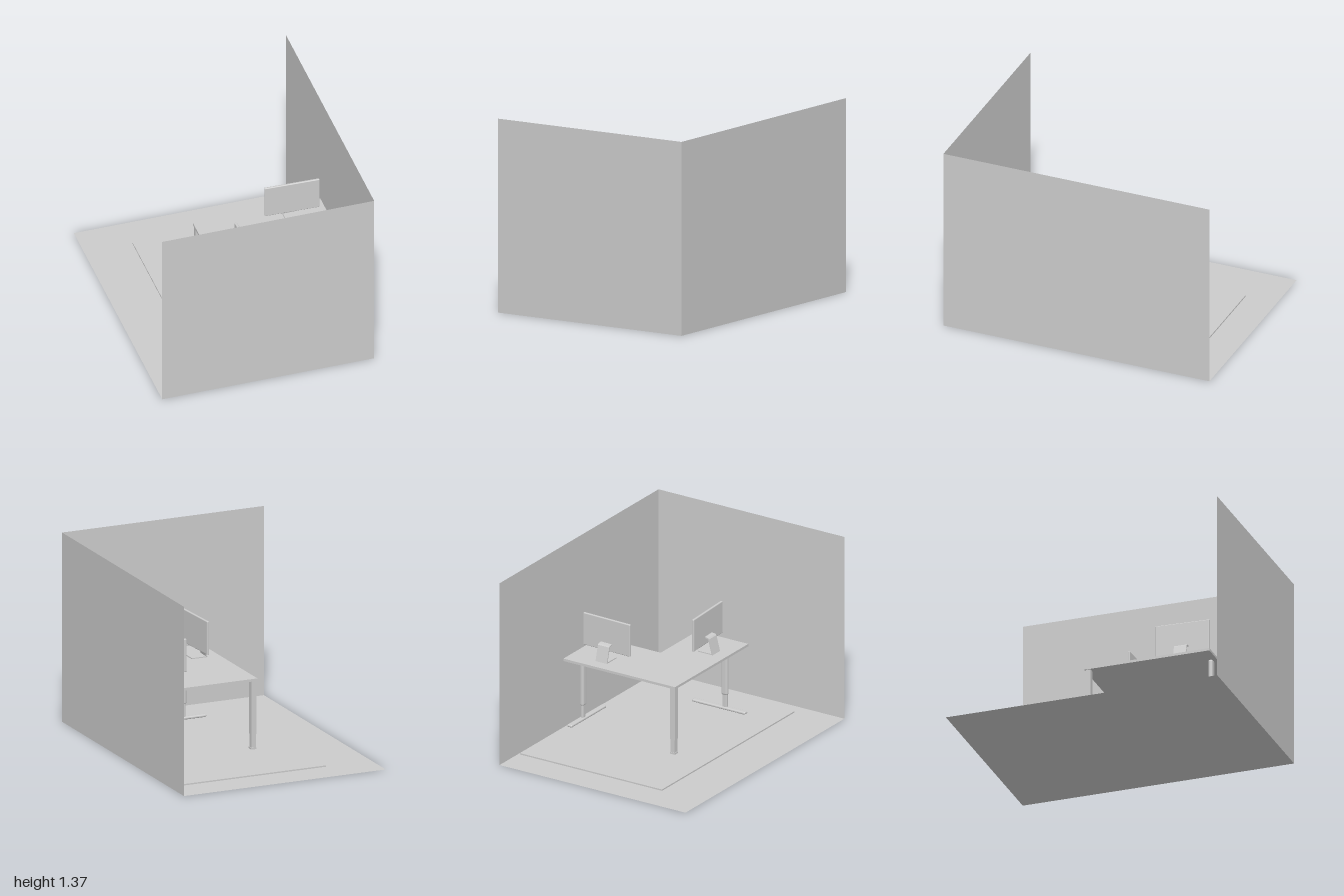
import * as THREE from 'three';
import { RoundedBoxGeometry } from 'three/addons/geometries/RoundedBoxGeometry.js';

const grey = new THREE.MeshStandardMaterial({ color: 0xcccccc });
const thin = new THREE.MeshStandardMaterial({ color: 0xcccccc, side: THREE.DoubleSide });

function add(parent, name, geometry, x = 0, y = 0, z = 0, material = grey) {
  const mesh = new THREE.Mesh(geometry, material);
  mesh.name = name;
  mesh.position.set(x, y, z);
  parent.add(mesh);
  return mesh;
}

const box = (w, h, d) => new THREE.BoxGeometry(w, h, d);

// T-shaped leg: floor bar along local x, telescopic column set toward -x
function createTLeg(name) {
  const leg = new THREE.Group();
  leg.name = name;
  add(leg, 'footBar', new RoundedBoxGeometry(0.44, 0.02, 0.04, 3, 0.009), 0, 0.02, 0);
  add(leg, 'lowerColumn', new RoundedBoxGeometry(0.04, 0.14, 0.024, 4, 0.01), -0.045, 0.09, 0);
  add(leg, 'upperColumn', new RoundedBoxGeometry(0.052, 0.385, 0.034, 4, 0.015), -0.045, 0.31, 0);
  return leg;
}

// Monitor facing local +z; y = 0 is the desk surface
function createMonitor(name, twist) {
  const monitor = new THREE.Group();
  monitor.name = name;
  const screen = add(monitor, 'screen', new RoundedBoxGeometry(0.395, 0.24, 0.018, 3, 0.006), 0, 0.185, 0);
  screen.rotation.y = twist;

  // Bent plate stand, outlined from the side as (depth, height)
  const profile = new THREE.Shape([
    [0.045, 0], [-0.075, 0], [-0.045, 0.112], [-0.037, 0.12], [-0.004, 0.125],
    [-0.004, 0.117], [-0.033, 0.112], [-0.038, 0.107], [-0.065, 0.007], [0.045, 0.007],
  ].map(([z, y]) => new THREE.Vector2(z, y)));
  const stand = new THREE.ExtrudeGeometry(profile, { depth: 0.094, bevelEnabled: false });
  stand.translate(0, 0, -0.047);
  stand.rotateY(-Math.PI / 2);
  add(monitor, 'stand', stand);
  return monitor;
}

export function createModel() {
  const model = new THREE.Group();
  model.name = 'officeCorner';
  const W = 1.54, D = 2, H = 1.365, deskY = 0.52;

  // Room shell: floor and two walls
  const floor = add(model, 'floor', new THREE.PlaneGeometry(W, D), 0, 0, 0, thin);
  floor.rotation.x = -Math.PI / 2;
  add(model, 'frontWall', new THREE.PlaneGeometry(W, H), 0, H / 2, D / 2, thin);
  const sideWall = add(model, 'leftWall', new THREE.PlaneGeometry(D, H), W / 2, H / 2, 0, thin);
  sideWall.rotation.y = Math.PI / 2;

  // Rug
  add(model, 'rug', box(1.175, 0.01, 1.67), 0.167, 0.005, 0.07);

  // L-shaped desk top, drawn in x and -z then laid flat
  const outline = new THREE.Shape([
    [-0.16, -0.205], [0.765, -0.205], [0.765, 0.253], [0.26, 0.253], [0.26, 0.717], [-0.16, 0.717],
  ].map(([x, z]) => new THREE.Vector2(x, -z)));
  const top = new THREE.ExtrudeGeometry(outline, { depth: 0.018, bevelEnabled: false });
  top.rotateX(-Math.PI / 2);
  add(model, 'deskTop', top, 0, deskY - 0.018, 0);

  // Square corner leg with a telescopic inner tube and foot pad
  const corner = new THREE.Group();
  corner.name = 'cornerLeg';
  add(corner, 'upperTube', box(0.038, 0.385, 0.038), 0, 0.31, 0);
  add(corner, 'lowerTube', box(0.033, 0.11, 0.033), 0, 0.072, 0);
  add(corner, 'footPad', box(0.042, 0.012, 0.042), 0, 0.016, 0);
  corner.position.set(-0.135, 0, -0.18);
  model.add(corner);

  // T legs at the ends of both wings
  const legA = createTLeg('frontLeg');
  legA.position.set(0.048, 0, 0.672);
  const legB = createTLeg('sideLeg');
  legB.position.set(0.72, 0, 0.022);
  legB.rotation.y = -Math.PI / 2;
  model.add(legA, legB);

  // One monitor per wing, both facing the seat in the inner corner
  const monitorA = createMonitor('sideMonitor', -0.03);
  monitorA.position.set(0.508, deskY, -0.044);
  const monitorB = createMonitor('frontMonitor', 0.05);
  monitorB.position.set(0.009, deskY, 0.458);
  monitorB.rotation.y = Math.PI / 2;
  model.add(monitorA, monitorB);

  return model;
}
